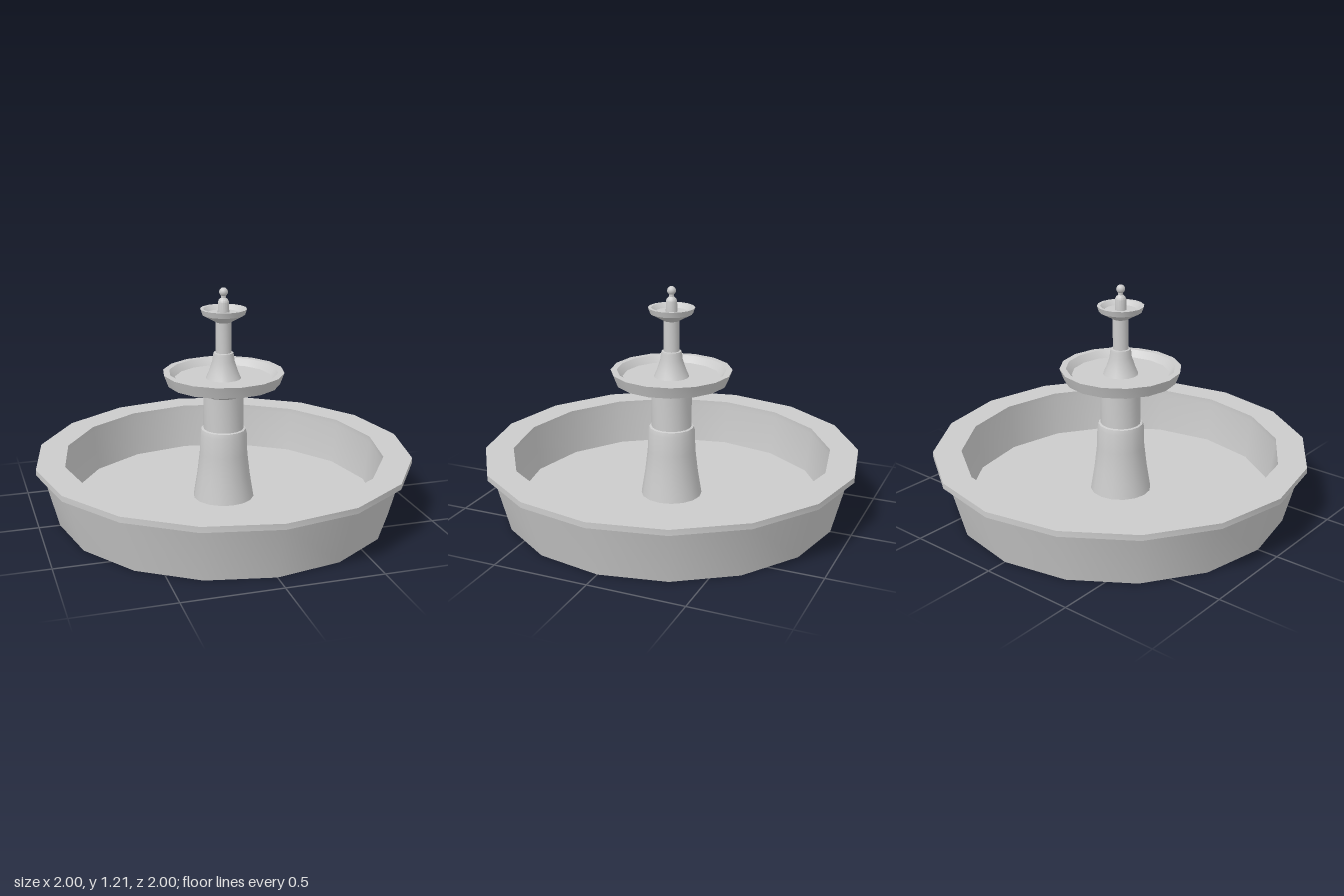
import * as THREE from 'three';
import { toCreasedNormals } from 'three/addons/utils/BufferGeometryUtils.js';

const SIDES = 16;
const material = new THREE.MeshStandardMaterial({ color: 0xcccccc });

// Sixteen-sided turned part; profile is [radius, height], running up the outside.
function turned(name, profile) {
  const points = profile.map(([r, y]) => new THREE.Vector2(r, y));
  const geometry = toCreasedNormals(new THREE.LatheGeometry(points, SIDES), 0.5);
  const mesh = new THREE.Mesh(geometry, material);
  mesh.name = name;
  return mesh;
}

export function createModel() {
  const fountain = new THREE.Group();
  fountain.name = 'fountain';

  // Wide pool with an overhanging flat rim and a sunken floor
  fountain.add(turned('poolBasin', [
    [0, 0], [0.89, 0], [0.965, 0.29], [1, 0.29], [1, 0.32],
    [0.85, 0.32], [0.85, 0.29], [0.82, 0.07], [0, 0.07],
  ]));

  // Flared pedestal with a collar and a plain shaft
  fountain.add(turned('lowerColumn', [
    [0.163, 0.07], [0.142, 0.2], [0.128, 0.32], [0.125, 0.428],
    [0.119, 0.452], [0.107, 0.455], [0.107, 0.645],
  ]));

  // Middle bowl
  fountain.add(turned('middleBowl', [
    [0, 0.64], [0.107, 0.64], [0.165, 0.668], [0.297, 0.703], [0.32, 0.765],
    [0.287, 0.765], [0.257, 0.73], [0, 0.73],
  ]));

  // Upper pedestal, a smaller version of the lower one
  fountain.add(turned('upperColumn', [
    [0.093, 0.73], [0.077, 0.767], [0.058, 0.825], [0.055, 0.855],
    [0.052, 0.867], [0.041, 0.868], [0.041, 1.035],
  ]));

  // Small top bowl
  fountain.add(turned('topBowl', [
    [0, 1.03], [0.041, 1.03], [0.065, 1.044], [0.112, 1.07], [0.122, 1.1],
    [0.105, 1.1], [0.083, 1.078], [0, 1.078],
  ]));

  // Finial: stem, neck and ball
  fountain.add(turned('finialStem', [
    [0.03, 1.078], [0.029, 1.135], [0.025, 1.145], [0.013, 1.157], [0.013, 1.172],
  ]));
  const ball = new THREE.Mesh(new THREE.SphereGeometry(0.023, SIDES, 10), material);
  ball.name = 'finialBall';
  ball.position.y = 1.187;
  fountain.add(ball);

  return fountain;
}
